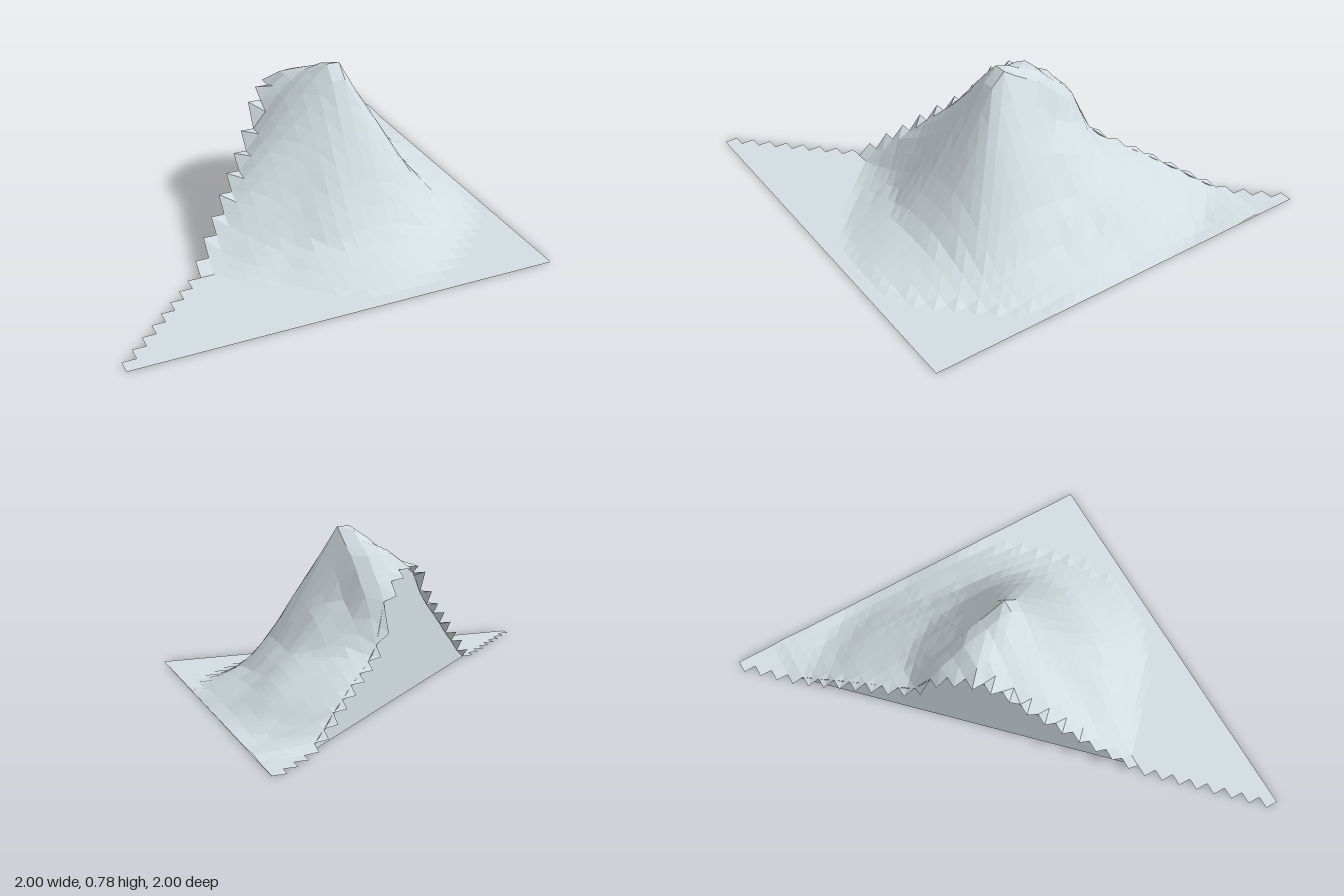
import * as THREE from 'three';

const N = 32, CELL = 2 / N;
const PEAK = [0.28, 0.19];
const LEVELS = [0.775, 0.65, 0.45, 0.25, 0.1, 0.04, 0];

// Contour radii around the peak: [angle from +x towards +z, radius at each level after the summit]
const CONTOURS = [
  [0, 0.1, 0.22, 0.34, 0.48, 0.62, 0.7],
  [45, 0.11, 0.25, 0.38, 0.5, 0.58, 0.68],
  [90, 0.095, 0.21, 0.34, 0.475, 0.64, 0.75],
  [135, 0.1, 0.23, 0.37, 0.49, 0.59, 0.69],
  [160, 0.13, 0.28, 0.46, 0.62, 0.7, 0.78],
  [180, 0.15, 0.33, 0.53, 0.68, 0.8, 0.9],
  [215, 0.24, 0.45, 0.6, 0.72, 0.8, 0.9],
  [240, 0.3, 0.48, 0.62, 0.78, 0.9, 1.0],
  [270, 0.25, 0.44, 0.53, 0.85, 0.97, 1.05],
  [290, 0.16, 0.28, 0.5, 0.83, 0.95, 1.06],
  [315, 0.1, 0.23, 0.42, 0.72, 0.81, 0.92],
  [338, 0.1, 0.21, 0.34, 0.54, 0.67, 0.74],
  [360, 0.1, 0.22, 0.34, 0.48, 0.62, 0.7],
];

// Heights along the diagonal cut, one per grid step starting at x = -0.5
const CUT_START = -0.5;
const CUT = [0, 0.05, 0.12, 0.18, 0.25, 0.315, 0.375, 0.45, 0.56, 0.6, 0.6, 0.56,
  0.48, 0.3, 0.245, 0.21, 0.18, 0.14, 0.105, 0.06, 0.025, 0];

function hillHeight(x, z) {
  const dx = x - PEAK[0], dz = z - PEAK[1], r = Math.hypot(dx, dz);
  const a = (Math.atan2(dz, dx) * 180 / Math.PI + 360) % 360;
  let s = 0;
  while (s < CONTOURS.length - 2 && a > CONTOURS[s + 1][0]) s++;
  const A = CONTOURS[s], B = CONTOURS[s + 1], k = (a - A[0]) / (B[0] - A[0]);
  let prev = 0.035;
  if (r <= prev) return LEVELS[0];
  for (let i = 1; i < LEVELS.length; i++) {
    const next = THREE.MathUtils.lerp(A[i], B[i], k);
    if (r < next) return THREE.MathUtils.lerp(LEVELS[i - 1], LEVELS[i], (r - prev) / (next - prev));
    prev = next;
  }
  return 0;
}

// Hill height, corrected along each row so that it meets the cut profile on the diagonal
function surface(i, j) {
  if (i + j < N) {
    const row = surface(i + 1, j);
    return row + 0.25 * Math.max(0, surface(i, j + 1) - row);
  }
  const x = -1 + i * CELL, z = -1 + j * CELL;
  const cut = CUT[Math.round((-z - CUT_START) / CELL)] ?? 0;
  const ease = Math.max(0, 1 - (x + z) / 0.35);
  return Math.max(0, hillHeight(x, z) + (cut - hillHeight(-z, z)) * ease);
}

// Stepped half of a square grid, two triangles per cell
function terrainGeometry() {
  const pos = [];
  const put = (i, j) => pos.push(-1 + i * CELL, surface(i, j) + 0.002, -1 + j * CELL);
  for (let j = 0; j < N; j++) {
    for (let i = N - 1 - j; i < N; i++) {
      put(i, j); put(i, j + 1); put(i + 1, j + 1);
      put(i, j); put(i + 1, j + 1); put(i + 1, j);
    }
  }
  const g = new THREE.BufferGeometry();
  g.setAttribute('position', new THREE.Float32BufferAttribute(pos, 3));
  g.computeVertexNormals();
  return g;
}

export function createModel() {
  const group = new THREE.Group();
  group.name = 'mountainTile';
  const stone = new THREE.MeshStandardMaterial({
    name: 'paleStone', color: 0xd2dde1, flatShading: true, side: THREE.DoubleSide,
  });
  const add = (name, geometry) => {
    const mesh = new THREE.Mesh(geometry, stone);
    mesh.name = name;
    group.add(mesh);
    return mesh;
  };

  add('mountainSurface', terrainGeometry());

  // Flat wall closing the diagonal cut
  const profile = new THREE.Shape(CUT.map((h, i) =>
    new THREE.Vector2((CUT_START + i * CELL) * Math.SQRT2, h)));
  add('cutWall', new THREE.ShapeGeometry(profile)).rotation.y = Math.PI / 4;

  // Triangular underside
  const base = new THREE.Shape([[-1, 1], [1, 1], [1, -1]].map(p => new THREE.Vector2(...p)));
  add('base', new THREE.ShapeGeometry(base)).rotation.x = Math.PI / 2;

  return group;
}
